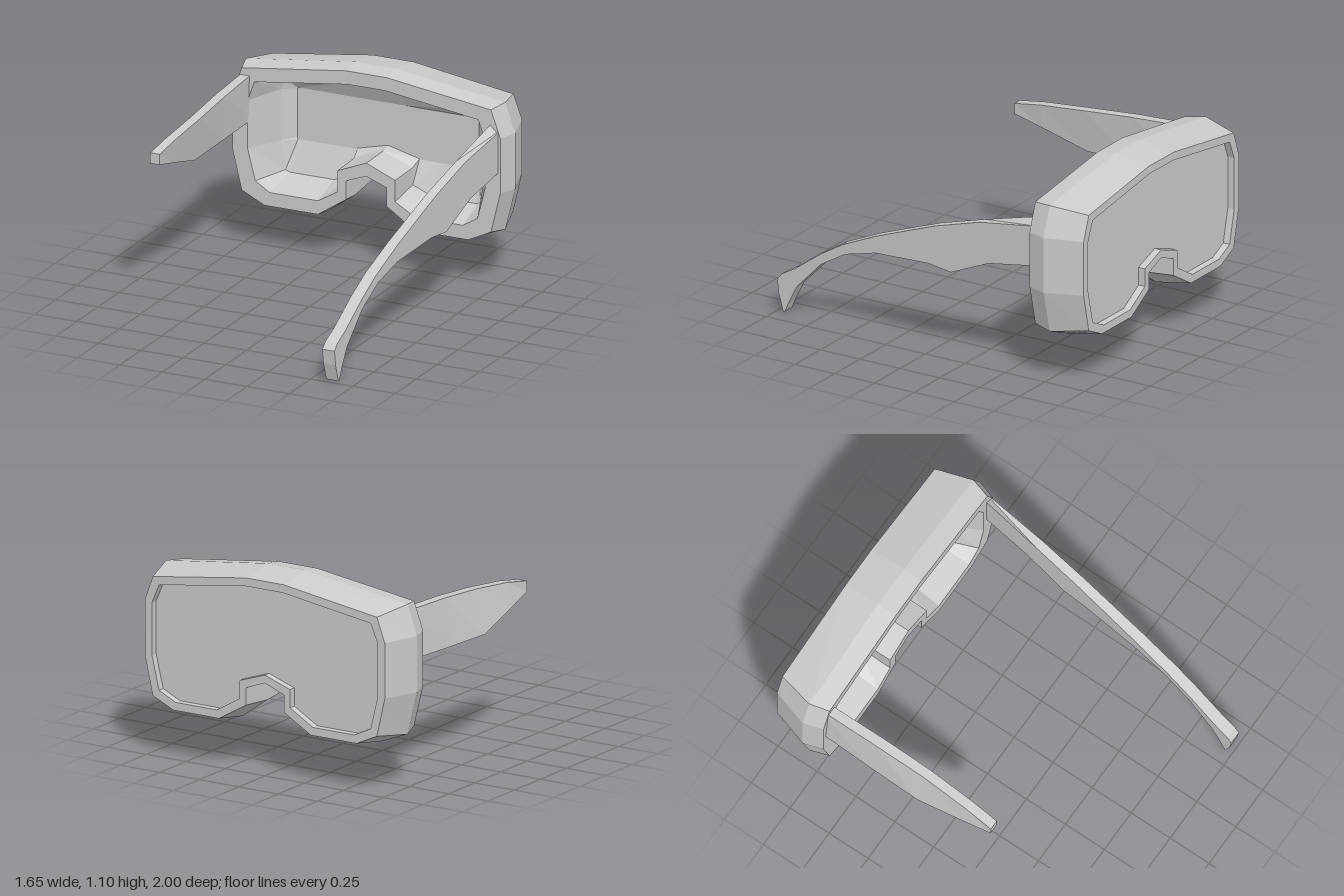
import * as THREE from 'three';

const grey = new THREE.MeshStandardMaterial({ color: 0xcccccc, flatShading: true });
const greyDouble = new THREE.MeshStandardMaterial({ color: 0xcccccc, flatShading: true, side: THREE.DoubleSide });

// Joins rings of equal point count, counter-clockwise seen from +z, optionally capping the ends
function loft(rings, capped) {
  const pos = [];
  const n = rings[0].length;
  const quad = (a, b, c, d) => pos.push(...a, ...b, ...c, ...a, ...c, ...d);
  for (let r = 0; r < rings.length - 1; r++) {
    for (let i = 0; i < n; i++) {
      const j = (i + 1) % n;
      quad(rings[r][i], rings[r][j], rings[r + 1][j], rings[r + 1][i]);
    }
  }
  if (capped) {
    const [a, b, c, d] = rings[0];
    quad(d, c, b, a);
    quad(...rings[rings.length - 1]);
  }
  const geo = new THREE.BufferGeometry();
  geo.setAttribute('position', new THREE.Float32BufferAttribute(pos, 3));
  geo.computeVertexNormals();
  return geo;
}

// Half outline (nose bridge to brow) mirrored into a full ring
function mirrored(half) {
  const left = half.slice(1).reverse().map(([x, y]) => [-x, y]);
  return [...half, ...left];
}
const ringAt = (half, z) => mirrored(half).map(([x, y]) => [x, y, z]);

function add(group, name, geometry, material = grey) {
  const mesh = new THREE.Mesh(geometry, material);
  mesh.name = name;
  group.add(mesh);
  return mesh;
}

function lens(half, z, group, name) {
  const shape = new THREE.Shape(mirrored(half).map(([x, y]) => new THREE.Vector2(x, y)));
  add(group, name, new THREE.ShapeGeometry(shape), greyDouble).position.z = z;
}

export function createModel() {
  const model = new THREE.Group();
  model.name = 'safetyGoggles';

  // Frame outlines
  const back = [[0, .51], [.12, .465], [.12, .37], [.29, .27], [.58, .27],
    [.71, .33], [.76, .545], [.76, .85], [.71, .985], [.12, 1.07]];
  const middle = [[0, .51], [.12, .465], [.12, .35], [.28, .235], [.6, .235],
    [.765, .3], [.825, .54], [.825, .85], [.765, 1.015], [.12, 1.1]];
  const front = [[0, .51], [.12, .465], [.12, .36], [.285, .25], [.6, .25],
    [.735, .315], [.79, .54], [.79, .85], [.735, 1.003], [.12, 1.085]];
  const backOpening = [[0, .555], [.16, .5], [.16, .4], [.305, .315], [.565, .315],
    [.67, .365], [.715, .55], [.715, .84], [.67, .945], [.115, 1.025]];
  const frontOpening = [[0, .585], [.17, .515], [.17, .395], [.285, .327], [.57, .327],
    [.655, .38], [.7, .555], [.7, .825], [.66, .935], [.11, 1.01]];
  const deep = [[0, .587], [.172, .52], [.175, .425], [.29, .38], [.55, .38],
    [.575, .39], [.6, .55], [.6, .84], [.585, .905], [.1, .965]];
  const flat = [[0, .6], [.18, .555], [.185, .552], [.3, .55], [.5, .55],
    [.53, .552], [.535, .56], [.535, .83], [.53, .84], [.1, .84]];

  // Frame shell: back recess, outside, front rim, then the hollow inside
  add(model, 'frame', loft([
    ringAt(backOpening, -.96), ringAt(backOpening, -1), ringAt(back, -1),
    ringAt(middle, -.79), ringAt(front, -.68), ringAt(frontOpening, -.68),
    ringAt(deep, -.88), ringAt(flat, -.94),
  ]));
  lens(flat, -.94, model, 'innerLens');
  lens(backOpening, -.96, model, 'outerLens');

  // Long temple arm: [top z, top y, bottom z, bottom y]
  const longSide = [
    [-.74, .935, -.74, .665], [-.34, .82, -.4, .6], [-.05, .73, -.15, .49],
    [.12, .665, 0, .505], [.35, .575, .35, .48], [.57, .475, .55, .425],
    [.71, .39, .71, .33], [.89, .26, .87, .165], [.97, .215, .91, .09],
    [1, .18, .93, .05], [.99, .1, .94, .025], [.96, 0, .95, .005],
  ];
  const inner = z => .665 - .095 * z;
  const outer = z => .722 - .08 * z;
  add(model, 'leftArm', loft(longSide.map(([zt, yt, zb, yb], i) => [
    [inner(zb), yb, zb], [outer(zb), yb, zb],
    [outer(zt), i === 0 ? yt - .045 : yt, zt], [inner(zt), yt, zt],
  ]), true));

  // Short temple arm: [z, top outer x, top inner x, top y, bottom outer x, bottom inner x, bottom y]
  const shortSide = [
    [-.74, -.745, -.69, .967, -.77, -.7, .7],
    [-.38, -.74, -.683, .95, -.78, -.708, .69],
    [-.08, -.735, -.68, .925, -.785, -.715, .682],
    [.2, -.745, -.69, .895, -.77, -.707, .76],
    [.37, -.755, -.7, .865, -.757, -.702, .805],
  ];
  add(model, 'rightArm', loft(shortSide.map(([z, to, ti, ty, bo, bi, by]) => [
    [bo, by, z], [bi, by, z], [ti, ty, z], [to, ty, z],
  ]), true));

  return model;
}
